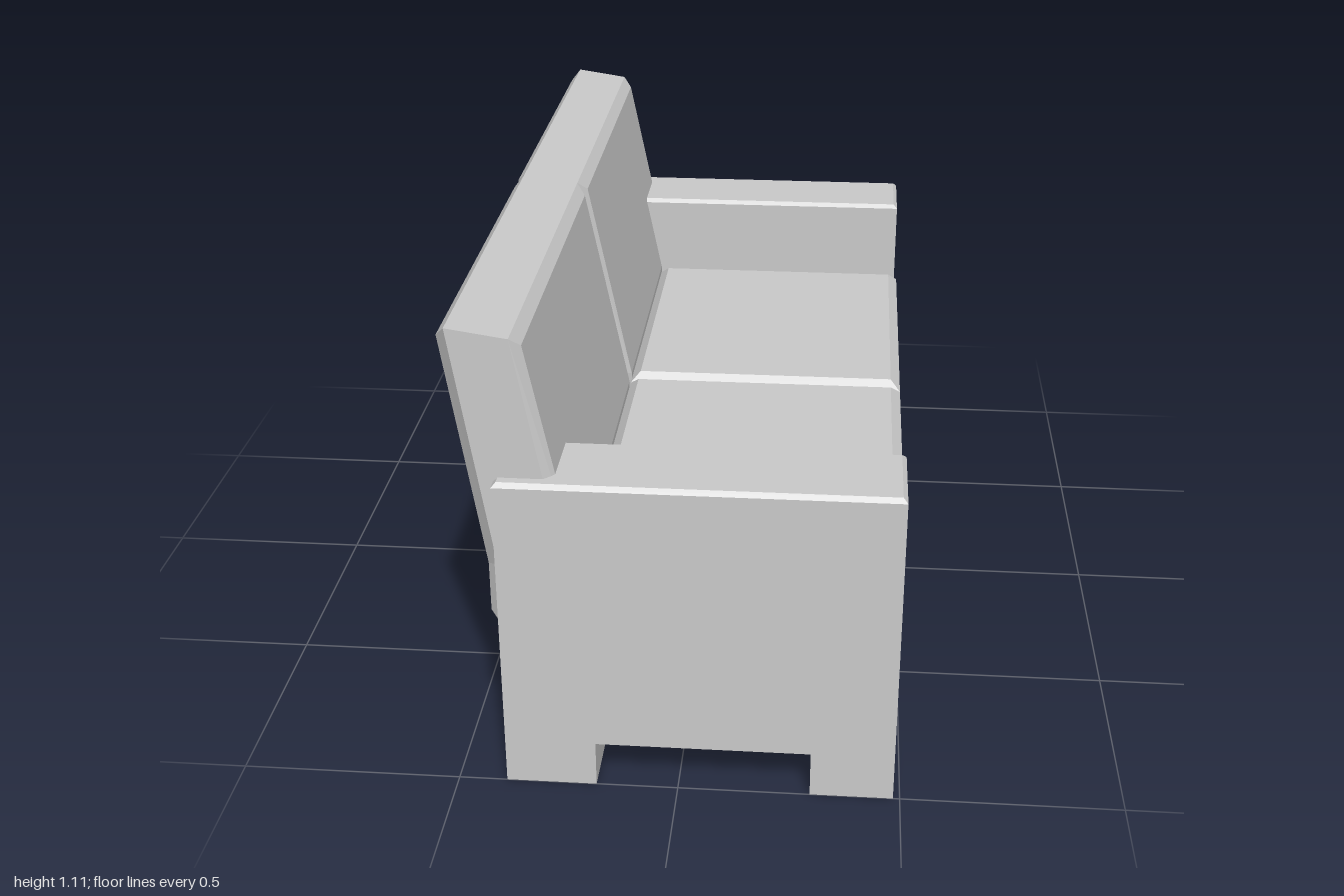
import * as THREE from 'three';

// Skins a stack of matching loops (counter-clockwise seen from the last loop) and caps both ends.
function loft(loops) {
  const pos = [];
  const quad = (a, b, c, d) => pos.push(...a, ...b, ...c, ...a, ...c, ...d);
  const n = loops[0].length;
  for (let k = 0; k < loops.length - 1; k++) {
    const a = loops[k], b = loops[k + 1];
    for (let i = 0; i < n; i++) {
      const j = (i + 1) % n;
      quad(a[i], a[j], b[j], b[i]);
    }
  }
  const first = loops[0], last = loops[loops.length - 1];
  for (let i = 0; i < n / 2 - 1; i++) {
    const p = n - 2 - i, q = n - 1 - i;
    quad(last[i], last[i + 1], last[p], last[q]);
    quad(first[q], first[p], first[i + 1], first[i]);
  }
  const geo = new THREE.BufferGeometry();
  geo.setAttribute('position', new THREE.Float32BufferAttribute(pos, 3));
  geo.computeVertexNormals();
  return geo;
}

// Horizontal rectangle at height y
const rect = (x0, x1, z0, z1, y) => [[x0, y, z0], [x0, y, z1], [x1, y, z1], [x1, y, z0]];

// Outline of a bent panel: an [x, y] path repeated at two z positions
const panel = (path, z0, z1) => [
  ...path.map(([x, y]) => [x, y, z0]),
  ...path.slice().reverse().map(([x, y]) => [x, y, z1]),
];

export function createModel() {
  const group = new THREE.Group();
  const material = new THREE.MeshStandardMaterial({ color: 0xcccccc, flatShading: true });
  const add = (name, geo) => {
    const mesh = new THREE.Mesh(geo, material);
    mesh.name = name;
    group.add(mesh);
    return mesh;
  };
  const back = -0.39, front = 0.485, inner = 0.79, floor = 0.11;

  // Base between the arms
  add('base', new THREE.BoxGeometry(front - back, 0.25, inner * 2))
    .position.set((back + front) / 2, floor + 0.125, 0);

  for (const side of [-1, 1]) {
    const label = side > 0 ? 'Left' : 'Right';

    // Arm with a fine bevel round its top
    const z0 = side > 0 ? inner : -1, z1 = side > 0 ? 1 : -inner, e = 0.01;
    add('arm' + label, loft([
      rect(back, front, z0, z1, floor),
      rect(back, front, z0, z1, 0.755),
      rect(back + e, front - e, z0 + e, z1 - e, 0.765),
    ]));

    // Legs, sloping on the inner side only
    for (const [name, x0, x1] of [['backLeg', back, -0.185], ['frontLeg', 0.298, front]]) {
      const span = (inside) => (side > 0 ? [inside, 1] : [-1, -inside]);
      add(name + label, loft([
        rect(x0, x1, ...span(0.83), 0),
        rect(x0, x1, ...span(inner), floor),
      ]));
    }

    // Seat cushion, bevelled above and below
    const s0 = side > 0 ? 0 : -0.785, s1 = s0 + 0.785, b = 0.025;
    add('seatCushion' + label, loft([
      rect(-0.218 + b, 0.492 - b, s0 + b, s1 - b, 0.37),
      rect(-0.218, 0.492, s0, s1, 0.393),
      rect(-0.218, 0.492, s0, s1, 0.533),
      rect(-0.218 + b, 0.492 - b, s0 + b, s1 - b, 0.557),
    ]));

    // Back cushion: upright at the bottom, leaning back above, bevelled front and rear
    const c0 = side > 0 ? 0 : -0.97, c1 = c0 + 0.97;
    add('backCushion' + label, loft([
      panel([[-0.415, 0.42], [-0.415, 0.54], [-0.497, 1.08]], c0 + b, c1 - b),
      panel([[-0.39, 0.4], [-0.39, 0.55], [-0.475, 1.106]], c0, c1),
      panel([[-0.245, 0.4], [-0.245, 0.56], [-0.342, 1.086]], c0, c1),
      panel([[-0.217, 0.42], [-0.217, 0.55], [-0.32, 1.062]], c0 + b, c1 - b),
    ]));
  }
  return group;
}
